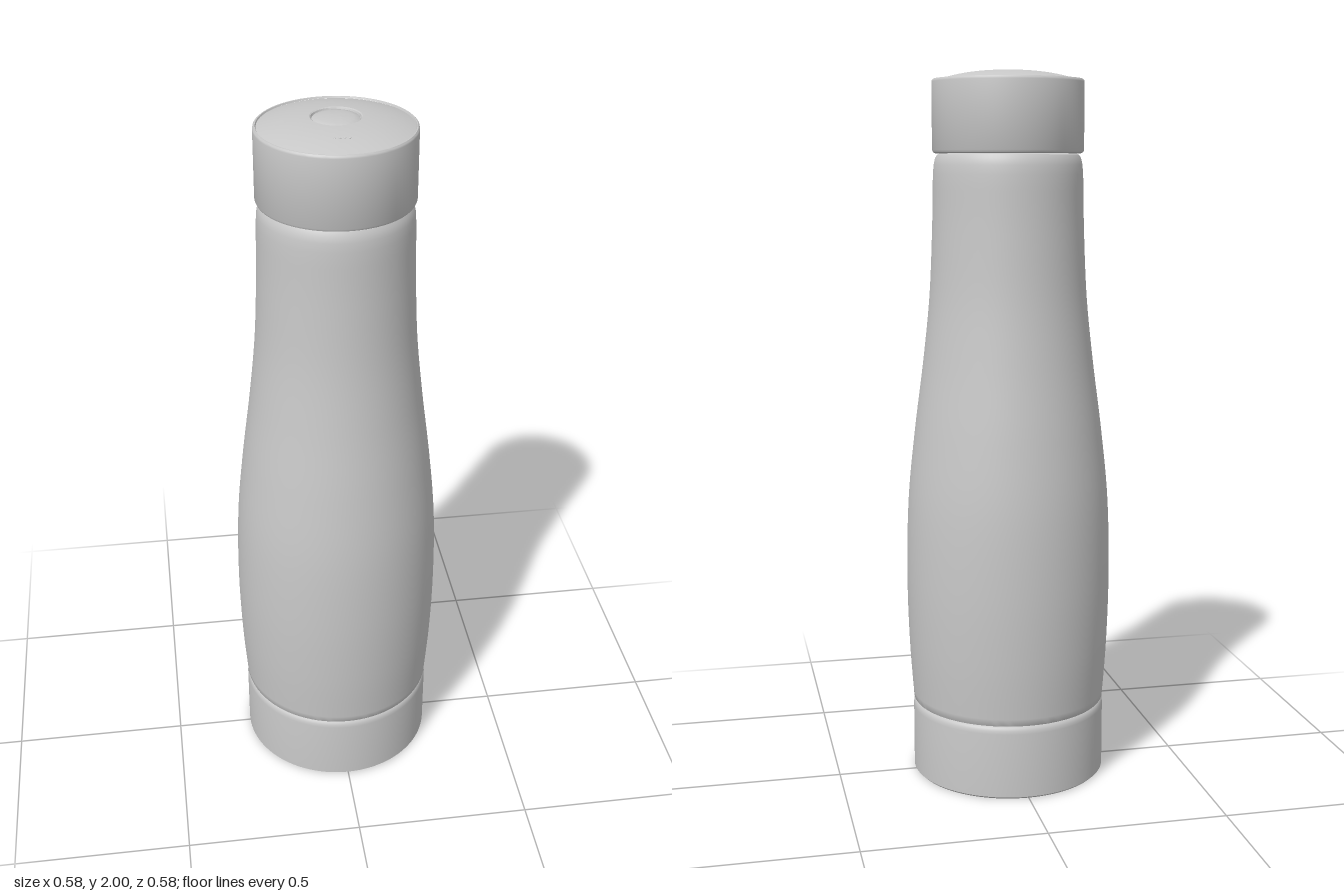
import * as THREE from 'three';
import { toCreasedNormals } from 'three/addons/utils/BufferGeometryUtils.js';

const SEGMENTS = 96;

export function createModel() {
  const model = new THREE.Group();
  model.name = 'bottle';
  const grey = new THREE.MeshStandardMaterial({ color: 0xc8c8c8 });
  grey.name = 'satin grey';

  const add = (name, geometry) => {
    const mesh = new THREE.Mesh(geometry, grey);
    mesh.name = name;
    model.add(mesh);
    return mesh;
  };
  // Turned part from [radius, height] pairs, listed bottom to top
  const turn = (name, pairs) => {
    const points = pairs.map(([r, y]) => new THREE.Vector2(r, y));
    return add(name, toCreasedNormals(new THREE.LatheGeometry(points, SEGMENTS), 0.6));
  };

  // Base cup with a softly rounded upper lip
  turn('baseCup', [
    [0, 0], [0.272, 0], [0.277, 0.005], [0.277, 0.19],
    [0.276, 0.199], [0.273, 0.206], [0.268, 0.211], [0.26, 0.213],
  ]);

  // Body: one smooth curve from the belly to the neck
  const curve = new THREE.SplineCurve([
    [0.276, 0.216], [0.287, 0.38], [0.292, 0.58], [0.286, 0.8], [0.266, 1.0],
    [0.24, 1.2], [0.221, 1.38], [0.212, 1.56], [0.209, 1.69],
  ].map(([r, y]) => new THREE.Vector2(r, y)));
  turn('body', [
    [0.255, 0.211], [0.274, 0.213],
    ...curve.getPoints(48).map((p) => [p.x, p.y]),
    [0.208, 1.72], [0.206, 1.745], [0.202, 1.763], [0.196, 1.773], [0.185, 1.777], [0, 1.777],
  ]);

  // Cap wall with a narrow rim
  turn('cap', [
    [0, 1.776], [0.2, 1.776], [0.207, 1.779], [0.21, 1.785],
    [0.21, 1.968], [0.209, 1.973], [0.206, 1.976], [0.203, 1.976], [0.201, 1.972],
  ]);

  // Domed lid: height falls away towards the rim
  const domeY = (r) => 1.971 + 0.029 * (1 - (r / 0.203) ** 2.4);
  const dome = [];
  for (let i = 0; i <= 20; i++) {
    const r = 0.202 + (0.067 - 0.202) * (i / 20);
    dome.push([r, domeY(r)]);
  }
  turn('lidDome', [...dome, [0.064, 1.996], [0.062, 1.991], [0, 1.991]]);

  // Round button set into a shallow groove
  turn('lidButton', [
    [0.062, 1.989], [0.0605, 1.9925], [0.057, 1.9945], [0.045, 1.9968],
    [0.03, 1.9985], [0.015, 1.9996], [0, 2],
  ]);

  // Four indicator dots in a row on the front of the lid
  for (let i = 0; i < 4; i++) {
    const x = -0.021 + i * 0.0125;
    const z = 0.13;
    const dot = add('indicatorDot', new THREE.SphereGeometry(0.0034, 16, 10));
    dot.scale.y = 0.5;
    dot.position.set(x, domeY(Math.hypot(x, z)), z);
  }

  return model;
}
